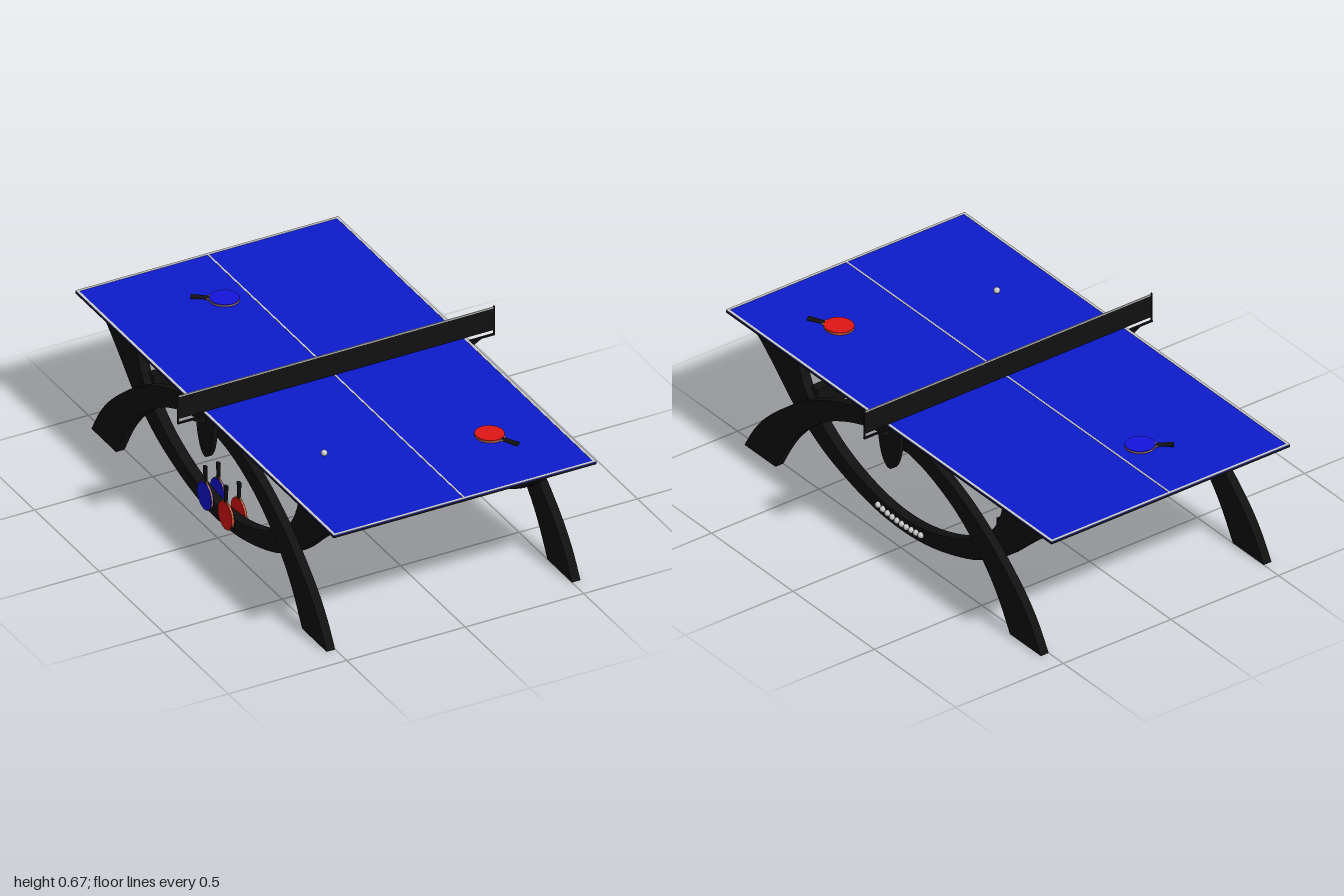
import * as THREE from 'three';
import { toCreasedNormals } from 'three/addons/utils/BufferGeometryUtils.js';

const mat = (color) => new THREE.MeshStandardMaterial({ color, side: THREE.DoubleSide });
const black = mat(0x111111), blue = mat(0x0d1bcc), white = mat(0xcccccc);
const red = mat(0xe01414), paddleBlue = mat(0x1414dd), wood = mat(0xb07a50);

function add(parent, name, geometry, material, x = 0, y = 0, z = 0) {
  const mesh = new THREE.Mesh(geometry, material);
  mesh.name = name;
  mesh.position.set(x, y, z);
  parent.add(mesh);
  return mesh;
}
const box = (parent, name, w, h, d, material, x, y, z) =>
  add(parent, name, new THREE.BoxGeometry(w, h, d), material, x, y, z);

// Smooth mirrored edge through points given from the outer end to the middle
function mirroredEdge(half) {
  const pts = half.map(([z, y]) => new THREE.Vector2(z, y));
  const other = half.slice(0, -1).reverse().map(([z, y]) => new THREE.Vector2(-z, y));
  return new THREE.SplineCurve([...pts, ...other]).getPoints(72);
}
// Side profile (z, y) given thickness along x, starting at x = 0
function sidePanel(points, thickness) {
  const geo = new THREE.ExtrudeGeometry(new THREE.Shape(points), { depth: thickness, bevelEnabled: false });
  geo.rotateY(Math.PI / 2);
  return toCreasedNormals(geo, 0.5);
}
const band = (outer, inner, thickness) =>
  sidePanel([...mirroredEdge(outer), ...mirroredEdge(inner).reverse()], thickness);

// Paddle lying flat: blade centred on the origin, handle along +z
function makePaddle(name, rubber) {
  const paddle = new THREE.Group();
  paddle.name = name;
  const blade = (r, h) => new THREE.CylinderGeometry(r, r, h, 40).scale(1, 1, 1.06);
  add(paddle, 'bladeCore', blade(0.055, 0.005), wood);
  for (const s of [1, -1]) add(paddle, 'rubber', blade(0.054, 0.003), rubber, 0, s * 0.004, 0);
  const neck = new THREE.Shape([[-0.03, 0.04], [0.03, 0.04], [0.011, 0.068], [-0.011, 0.068]]
    .map(([x, y]) => new THREE.Vector2(x, y)));
  const neckGeo = new THREE.ExtrudeGeometry(neck, { depth: 0.005, bevelEnabled: false });
  neckGeo.translate(0, 0, -0.0025).rotateX(Math.PI / 2);
  add(paddle, 'neck', neckGeo, wood);
  const handle = new THREE.CylinderGeometry(0.012, 0.009, 0.068, 16);
  handle.rotateX(Math.PI / 2).scale(1, 0.65, 1);
  add(paddle, 'handle', handle, black, 0, 0, 0.092);
  return paddle;
}

export function createModel() {
  const model = new THREE.Group();
  model.name = 'tableTennisTable';

  // Table top with painted lines
  const top = new THREE.Group();
  top.name = 'tableTop';
  model.add(top);
  box(top, 'topBoard', 1.11, 0.008, 2, black, 0, 0.549, 0);
  box(top, 'playingSurface', 1.11, 0.003, 2, blue, 0, 0.5545, 0);
  box(top, 'centreLine', 0.007, 0.001, 1.98, white, 0, 0.5565, 0);
  for (const s of [1, -1]) {
    box(top, 'sideLine', 0.011, 0.001, 2, white, s * 0.5495, 0.5565, 0);
    box(top, 'endLine', 1.1, 0.001, 0.011, white, 0, 0.5565, s * 0.9945);
  }

  // Curved side frames: a standing arch and a hanging cradle on each side
  const arch = band(
    [[0.91, 0], [0.85, 0.1], [0.77, 0.195], [0.65, 0.3], [0.55, 0.372], [0.4, 0.455], [0.2, 0.526], [0, 0.55]],
    [[0.72, 0], [0.65, 0.12], [0.58, 0.21], [0.49, 0.295], [0.36, 0.385], [0.18, 0.458], [0, 0.482]], 0.036);
  const cradle = band(
    [[1, 0.55], [0.88, 0.49], [0.77, 0.4], [0.66, 0.3], [0.57, 0.238], [0.42, 0.163], [0.2, 0.099], [0, 0.08]],
    [[0.63, 0.55], [0.62, 0.47], [0.575, 0.38], [0.49, 0.302], [0.36, 0.222], [0.18, 0.161], [0, 0.14]], 0.042);
  const cheekPts = new THREE.EllipseCurve(0, 0.55, 0.068, 0.18, Math.PI, 2 * Math.PI).getPoints(32);
  const cheek = sidePanel(cheekPts, 0.02);
  for (const s of [1, -1]) {
    add(model, 'archLeg', arch, black, s > 0 ? 0.5 : -0.536);
    add(model, 'cradleArc', cradle, black, s > 0 ? 0.459 : -0.501);
    add(model, 'netCheek', cheek, black, s > 0 ? 0.535 : -0.555);
  }

  // Beams joining the two frames
  box(model, 'centreBeam', 1.0, 0.112, 0.06, black, 0, 0.491, 0);
  for (const s of [1, -1]) box(model, 'crossBar', 0.94, 0.085, 0.04, black, 0, 0.3575, s * 0.57);

  // Net with tape, posts and brackets
  const net = new THREE.Group();
  net.name = 'net';
  model.add(net);
  box(net, 'netMesh', 1.336, 0.094, 0.003, black, 0, 0.611, 0);
  box(net, 'netTape', 1.336, 0.005, 0.005, white, 0, 0.6605, 0);
  for (const s of [1, -1]) {
    box(net, 'netPost', 0.006, 0.123, 0.006, black, s * 0.667, 0.6055, 0);
    box(net, 'netArm', 0.12, 0.006, 0.008, black, s * 0.61, 0.545, 0);
    const gusset = new THREE.Shape([[0.555, 0.512], [0.61, 0.543], [0.555, 0.543]]
      .map(([x, y]) => new THREE.Vector2(s * x, y)));
    add(net, 'netBracket', new THREE.ExtrudeGeometry(gusset, { depth: 0.012, bevelEnabled: false }), black, 0, 0, -0.006);
  }

  // Paddles and ball lying on the table
  const redPaddle = makePaddle('redPaddle', red);
  redPaddle.position.set(0.295, 0.563, 0.648);
  redPaddle.rotation.y = Math.atan2(0.055, 0.107);
  const bluePaddle = makePaddle('bluePaddle', paddleBlue);
  bluePaddle.position.set(-0.102, 0.563, -0.676);
  bluePaddle.rotation.y = Math.atan2(-0.1, -0.07);
  model.add(redPaddle, bluePaddle);
  const ball = new THREE.SphereGeometry(0.0125, 20, 14);
  add(model, 'ball', ball, white, -0.313, 0.57, 0.482);

  // Paddles stored on both faces of one cradle, held by pegs
  for (const x of [-0.453, -0.508]) {
    for (const s of [1, -1]) {
      const stored = makePaddle('storedPaddle', s > 0 ? red : paddleBlue);
      stored.position.set(x, 0.143, s * 0.08);
      stored.rotation.set(-Math.PI / 2, 0, Math.PI / 2, 'YXZ');
      model.add(stored);
      const peg = new THREE.CylinderGeometry(0.004, 0.004, 0.018, 10).rotateZ(Math.PI / 2);
      for (const d of [-0.055, 0.055]) add(model, 'paddlePeg', peg, black, x, 0.118, s * 0.08 + d);
    }
  }

  // Row of spare balls along the outside of the other cradle
  for (let i = 0; i < 10; i++) {
    const z = -0.131 + i * 0.0291;
    add(model, 'spareBall', ball, white, 0.505, 0.112 + 0.6 * z * z, z);
  }
  return model;
}
